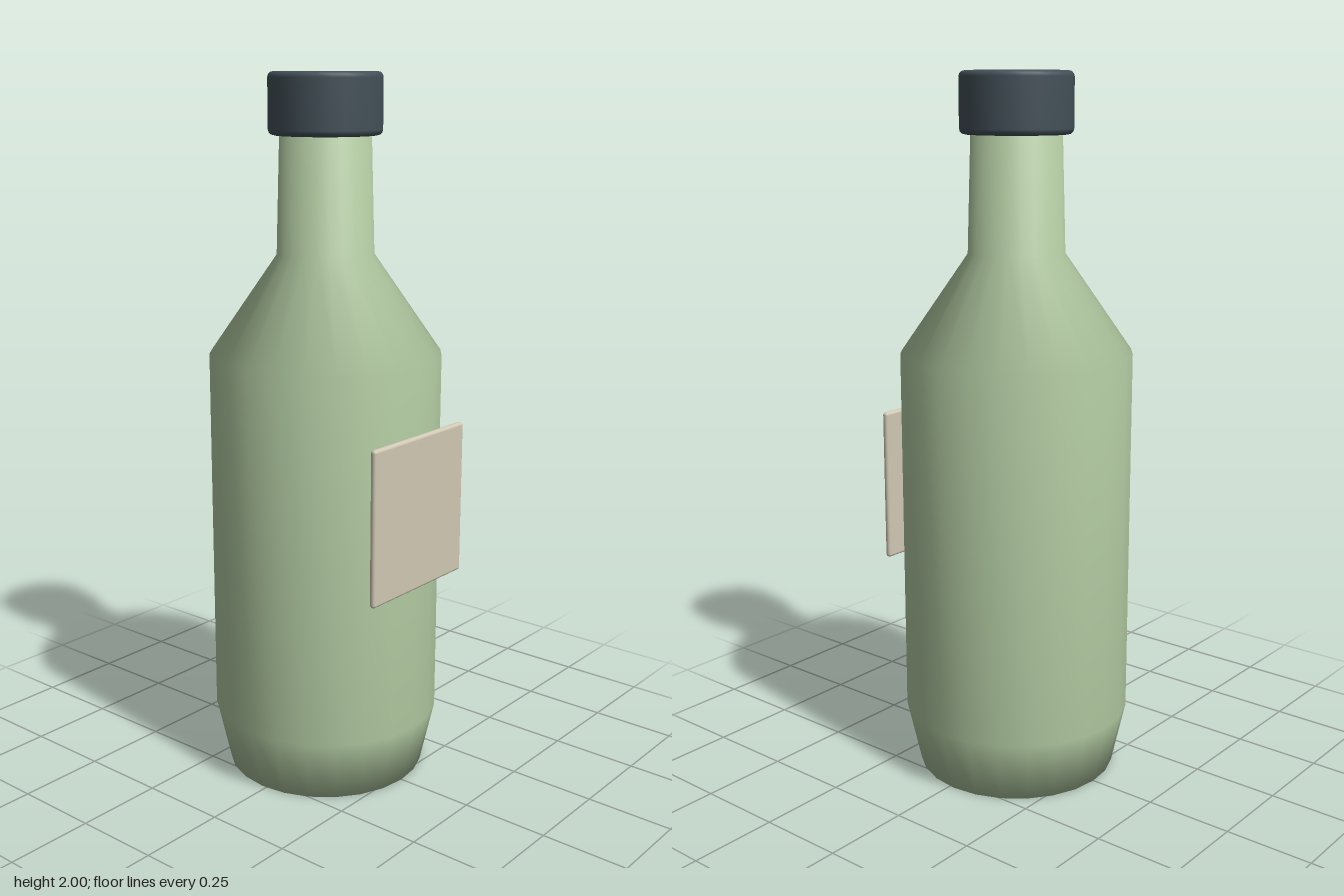
import * as THREE from 'three';
import { RoundedBoxGeometry } from 'three/addons/geometries/RoundedBoxGeometry.js';

const SIDES = 24;
const AXIS_Z = -0.015; // the bottle sits slightly back, behind its label

function addPart(group, name, geometry, color) {
  const mesh = new THREE.Mesh(geometry, new THREE.MeshStandardMaterial({ color }));
  mesh.name = name;
  group.add(mesh);
  return mesh;
}

// Surface of revolution from [radius, height] pairs, listed bottom to top
function lathe(profile) {
  return new THREE.LatheGeometry(profile.map(([r, y]) => new THREE.Vector2(r, y)), SIDES);
}

export function createModel() {
  const model = new THREE.Group();
  model.name = 'bottle';

  // Closed base, tapered foot, straight wall, sloping shoulder, narrow neck
  const body = addPart(model, 'bottleBody', lathe([
    [0, 0], [0.287, 0], [0.327, 0.18], [0.327, 1.235],
    [0.136, 1.51], [0.126, 1.85], [0, 1.85],
  ]), 0xb0c8a0);
  body.position.z = AXIS_Z;

  // Screw cap with small rounded rims
  const r = 0.157, low = 1.832, high = 2, bevel = 0.016;
  const rim = [];
  for (let i = 0; i <= 3; i++) {
    const a = (i / 3) * Math.PI / 2;
    rim.push([r - bevel + bevel * Math.sin(a), bevel * (1 - Math.cos(a))]);
  }
  const cap = addPart(model, 'cap', lathe([
    [0, low],
    ...rim.map(([x, y]) => [x, low + y]),
    ...rim.slice().reverse().map(([x, y]) => [x, high - y]),
    [0, high],
  ]), 0x435058);
  cap.position.z = AXIS_Z;

  // Flat label plate on the front
  const label = addPart(model, 'label', new RoundedBoxGeometry(0.406, 0.44, 0.019, 3, 0.009), 0xd0c8b4);
  label.position.set(0, 0.825, 0.3125);

  return model;
}
